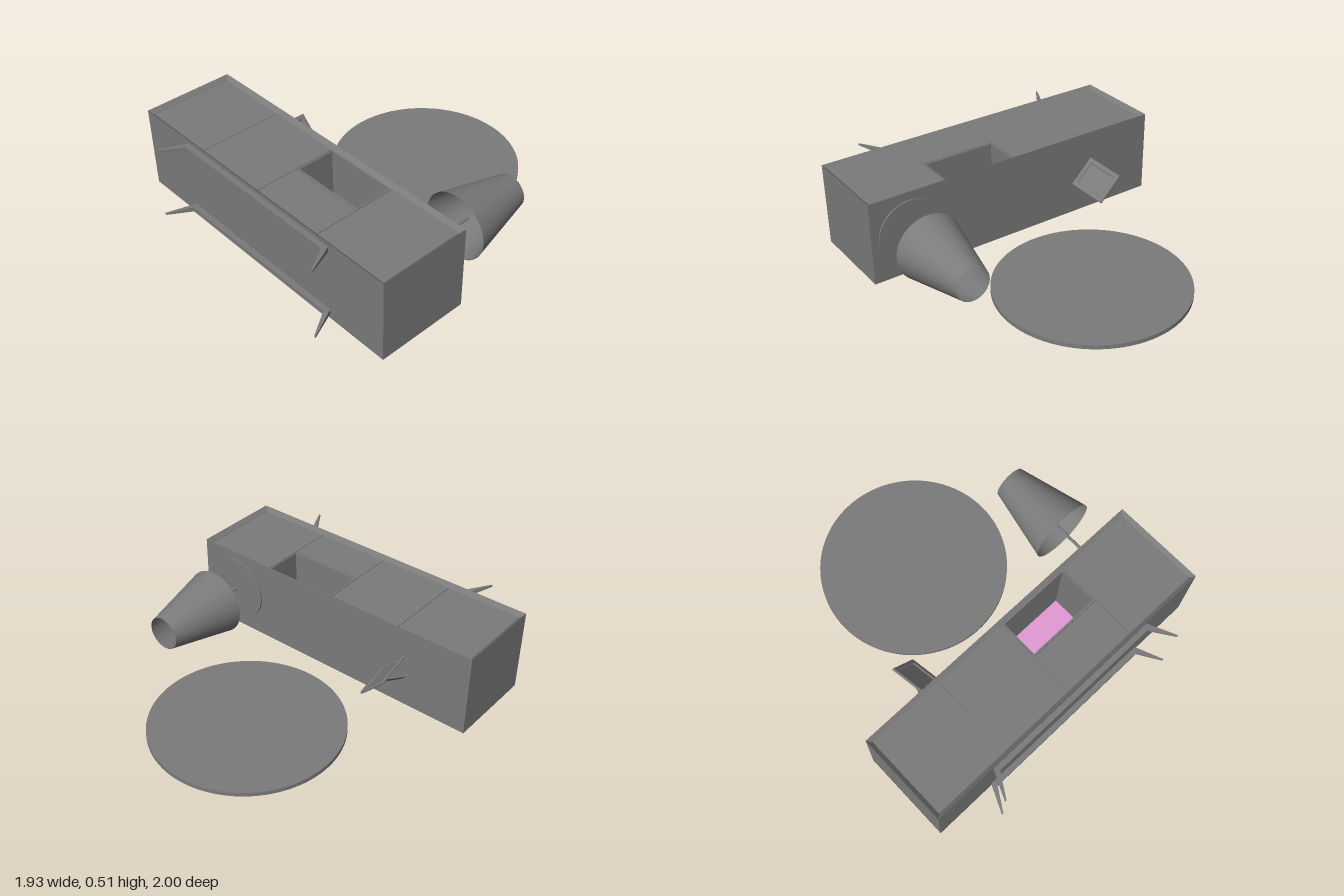
import * as THREE from 'three';

const GREY = 0x7b7b7b;
const grey = new THREE.MeshStandardMaterial({ color: GREY });
const greyDouble = new THREE.MeshStandardMaterial({ color: GREY, side: THREE.DoubleSide });
const pink = new THREE.MeshStandardMaterial({ color: 0xe19ad6 });

function add(parent, name, geometry, material = grey) {
  const mesh = new THREE.Mesh(geometry, material);
  mesh.name = name;
  parent.add(mesh);
  return mesh;
}

// Box given by its limits on each axis
function box(x0, x1, y0, y1, z0, z1) {
  return new THREE.BoxGeometry(x1 - x0, y1 - y0, z1 - z0)
    .translate((x0 + x1) / 2, (y0 + y1) / 2, (z0 + z1) / 2);
}

// Plan outline of [x, z] points raised from y0 by the given height
function raise(outline, y0, height, holes = []) {
  const flip = (pts) => pts.map(([x, z]) => new THREE.Vector2(x, -z));
  const shape = new THREE.Shape(flip(outline));
  holes.forEach((h) => shape.holes.push(new THREE.Path(flip(h))));
  return new THREE.ExtrudeGeometry(shape, { depth: height, bevelEnabled: false })
    .rotateX(-Math.PI / 2).translate(0, y0, 0);
}

const rect = (x0, x1, z0, z1) => [[x0, z0], [x0, z1], [x1, z1], [x1, z0]];

// Cabinet shell: rectangular rings, each inset from the outer edge at a height
function shellGeometry(X, z0, z1, rings) {
  const pos = [];
  const corners = rings.map(([inset, y]) =>
    rect(-X + inset, X - inset, z0 + inset, z1 - inset).map(([x, z]) => [x, y, z]));
  for (let r = 0; r < corners.length - 1; r++) {
    for (let i = 0; i < 4; i++) {
      const j = (i + 1) % 4;
      const [a, b, c, d] = [corners[r][i], corners[r][j], corners[r + 1][j], corners[r + 1][i]];
      pos.push(...a, ...b, ...c, ...a, ...c, ...d);
    }
  }
  const g = new THREE.BufferGeometry();
  g.setAttribute('position', new THREE.Float32BufferAttribute(pos, 3));
  g.computeVertexNormals();
  return g;
}

function createCabinet() {
  const g = new THREE.Group();
  g.name = 'cabinet';
  const X = 0.965, Z0 = 0.279, Z1 = 0.837;
  // The rim slopes inward from the outer edge down to the doors
  add(g, 'shell', shellGeometry(X, Z0, Z1,
    [[0.02, 0.01], [0.012, 0], [0, 0], [0, 0.51], [0.024, 0.485], [0.024, 0.465]]), greyDouble);

  // Core with the open niche cut through it
  const niche = rect(0.012, 0.46, 0.31, 0.54);
  add(g, 'core', raise(rect(-X + 0.02, X - 0.02, Z0 + 0.02, Z1 - 0.02), 0.01, 0.46, [niche]));
  add(g, 'backPanel', box(-X + 0.02, X - 0.02, 0.006, 0.015, Z0 + 0.02, Z1 - 0.02));
  add(g, 'nicheBack', box(0.012, 0.46, 0.012, 0.02, 0.31, 0.54), pink);
  add(g, 'nicheFrame', raise(rect(0.003, 0.467, 0.303, 0.552), 0.465, 0.02, [niche]));

  // Doors and the drawer under the niche
  const gap = 0.002, zTop = Z0 + 0.024, zBottom = Z1 - 0.024;
  [[-0.941, -0.47], [-0.47, 0], [0.47, 0.941]].forEach(([a, b]) =>
    add(g, 'door', box(a + gap, b - gap, 0.45, 0.485, zTop, zBottom)));
  add(g, 'drawer', box(gap, 0.47 - gap, 0.45, 0.485, 0.557, zBottom));
  return g;
}

// Splayed leg frame whose inner side tapers toward the tips
function legFrameGeometry() {
  const half = [[0.577, 0.837], [0.652, 1], [0.642, 1], [0.56, 0.868]];
  const mirrored = half.map(([x, z]) => [-x, z]).reverse();
  const g = raise([...half, ...mirrored], 0, 0.03);
  const p = g.attributes.position;
  for (let i = 0; i < p.count; i++) {
    if (p.getY(i) > 0.01 && p.getZ(i) > 0.9) p.setY(i, 0.01);
  }
  g.computeVertexNormals();
  return g;
}

function createLamp() {
  const g = new THREE.Group();
  g.name = 'lamp';
  const cyl = (r0, r1, h, n, open = false) => new THREE.CylinderGeometry(r0, r1, h, n, 1, open);
  add(g, 'lampBase', cyl(0.202, 0.202, 0.01, 64)).position.y = 0.005;
  add(g, 'lampPole', cyl(0.009, 0.009, 0.3, 20)).position.y = 0.155;
  add(g, 'lampShade', cyl(0.102, 0.202, 0.44, 64, true), greyDouble).position.y = 0.42;
  g.rotation.x = -Math.PI / 2;
  g.position.set(0.718, 0.258, 0.28);
  return g;
}

function createPictureFrame() {
  const g = new THREE.Group();
  g.name = 'pictureFrame';
  const W = 0.1, H = 0.252, border = 0.03, round = 0.007;
  const tilted = new THREE.Group();
  tilted.name = 'frontPanel';
  tilted.rotation.x = -0.168;
  g.add(tilted);

  // Rounded moulding around the recessed picture
  const outline = (inset) => [[-W + inset, inset], [W - inset, inset],
    [W - inset, H - inset], [-W + inset, H - inset]].map(([x, y]) => new THREE.Vector2(x, y));
  const shape = new THREE.Shape(outline(round));
  shape.holes.push(new THREE.Path(outline(border - round)));
  add(tilted, 'moulding', new THREE.ExtrudeGeometry(shape, {
    depth: 0.002, bevelThickness: round, bevelSize: round, bevelSegments: 4,
  }).translate(0, 0, -round - 0.002));
  add(tilted, 'picture', box(-W + 0.02, W - 0.02, 0.02, H - 0.02, -0.014, -0.008));

  // Strut leaning against the back of the panel
  const strut = add(g, 'strut', box(-0.025, 0.025, 0, 0.18, -0.004, 0.004));
  strut.position.z = -0.115;
  strut.rotation.x = 0.4;

  // Stands on the cabinet top, turned by 45 degrees
  const k = Math.SQRT1_2;
  g.setRotationFromMatrix(new THREE.Matrix4().makeBasis(
    new THREE.Vector3(k, -k, 0), new THREE.Vector3(0, 0, -1), new THREE.Vector3(k, k, 0)));
  g.position.set(-0.467, 0.268, 0.28);
  return g;
}

export function createModel() {
  const model = new THREE.Group();
  model.name = 'sideboardSet';
  model.add(createCabinet());

  // Leg frames, mirrored so the flat side faces outward
  add(model, 'backLegs', legFrameGeometry()).position.y = 0.031;
  const front = add(model, 'frontLegs', legFrameGeometry());
  front.scale.y = -1;
  front.position.y = 0.486;

  model.add(createLamp(), createPictureFrame());

  // Round wall mirror
  add(model, 'mirror', new THREE.CylinderGeometry(0.562, 0.562, 0.025, 96))
    .position.set(0, 0.0125, -0.438);
  return model;
}
